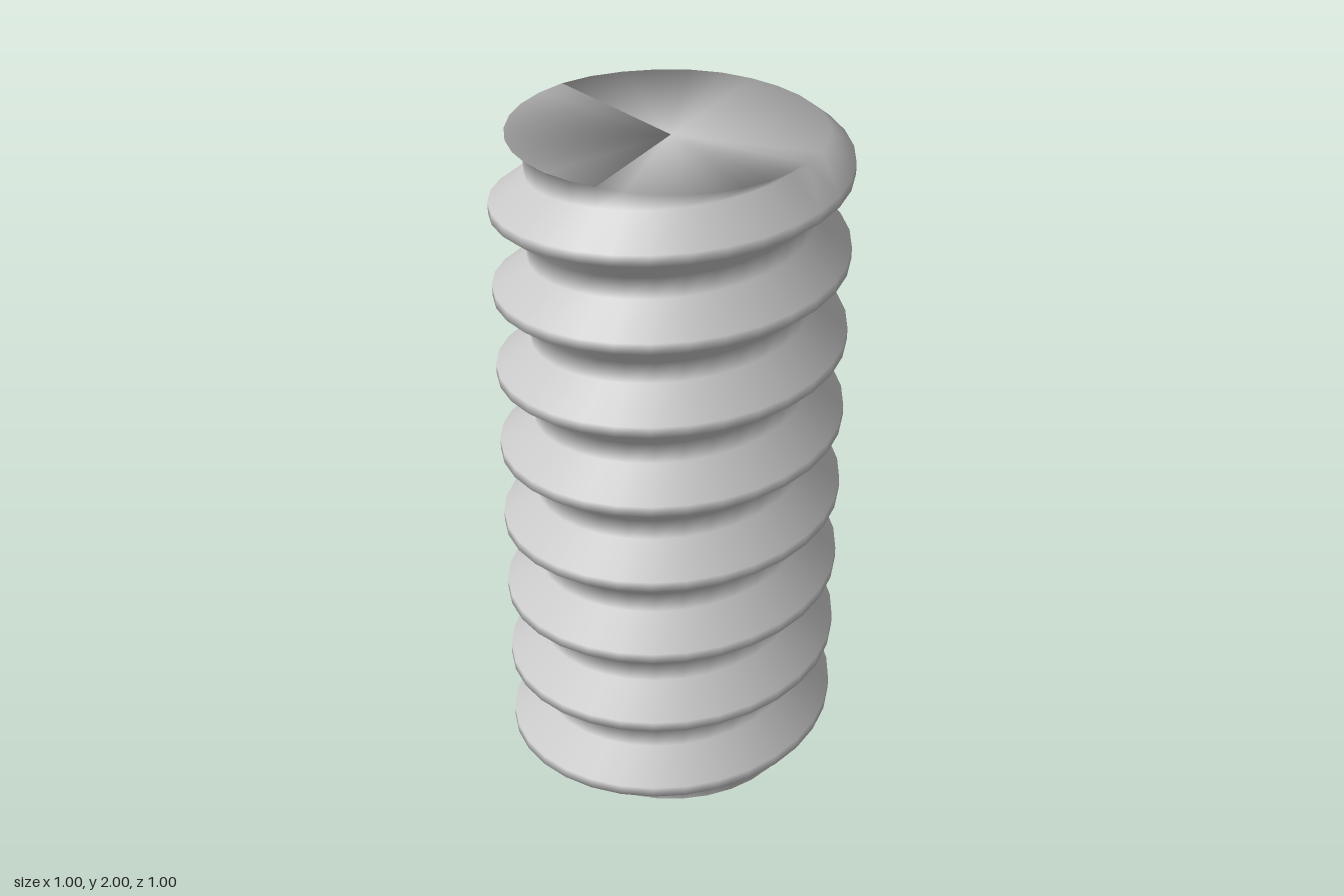
import * as THREE from 'three';

const HEIGHT = 2, PITCH = 0.25, SIDES = 32;
const ROOT = 0.4, CREST = 0.5;
const START = 0.16;                             // height of a crest on the +x side
const KNOTS = [-0.094, -0.016, 0.016, 0.094];   // corners of the thread profile around a crest

// Radius of the thread at a height measured from any crest
function profile(h) {
  const d = Math.abs(h - PITCH * Math.round(h / PITCH));
  const t = THREE.MathUtils.clamp((d - KNOTS[2]) / (KNOTS[3] - KNOTS[2]), 0, 1);
  return THREE.MathUtils.lerp(CREST, ROOT, t);
}

// Columns run up the rod from the bottom axis point to the top axis point;
// their rows follow the helix and are cut off flat at both ends.
function threadedRodGeometry() {
  const positions = [], normals = [], index = [];
  const firstTurn = -2, lastTurn = Math.ceil(HEIGHT / PITCH);
  let rows = 0;

  for (let j = 0; j <= SIDES; j++) {
    const angle = (j / SIDES) * Math.PI * 2;
    const c = Math.cos(angle), s = Math.sin(angle);
    const base = START + (PITCH * j) / SIDES;

    const addPoint = (y) => {
      const r = profile(y - base);
      const slope = (profile(y - base + 0.01) - profile(y - base - 0.01)) / 0.02;
      const twist = (PITCH / (Math.PI * 2 * r)) * slope;
      const n = new THREE.Vector3(c - twist * s, -slope, -s - twist * c).normalize();
      positions.push(r * c, y, -r * s);
      normals.push(n.x, n.y, n.z);
    };

    const begin = positions.length;
    positions.push(0, 0, 0);                    // bottom centre
    normals.push(0, -1, 0);
    addPoint(0);
    for (let turn = firstTurn; turn <= lastTurn; turn++) {
      for (const k of KNOTS) addPoint(THREE.MathUtils.clamp(base + turn * PITCH + k, 0, HEIGHT));
    }
    addPoint(HEIGHT);
    positions.push(0, HEIGHT, 0);               // top centre
    normals.push(0, 1, 0);
    rows = (positions.length - begin) / 3;
  }

  // Join neighbouring columns, leaving out triangles collapsed by the end cuts
  const corner = (i) => new THREE.Vector3().fromArray(positions, i * 3);
  const addTriangle = (a, b, d) => {
    if (new THREE.Triangle(corner(a), corner(b), corner(d)).getArea() > 1e-7) index.push(a, b, d);
  };
  for (let j = 0; j < SIDES; j++) {
    for (let i = 0; i < rows - 1; i++) {
      const a = j * rows + i, b = a + rows;
      addTriangle(a, b, b + 1);
      addTriangle(a, b + 1, a + 1);
    }
  }

  const geometry = new THREE.BufferGeometry();
  geometry.setAttribute('position', new THREE.Float32BufferAttribute(positions, 3));
  geometry.setAttribute('normal', new THREE.Float32BufferAttribute(normals, 3));
  geometry.setIndex(index);
  return geometry;
}

export function createModel() {
  const group = new THREE.Group();
  group.name = 'threadedRod';
  const rod = new THREE.Mesh(
    threadedRodGeometry(),
    new THREE.MeshStandardMaterial({ color: 0xcccccc })
  );
  rod.name = 'helicalThread';
  group.add(rod);
  return group;
}
